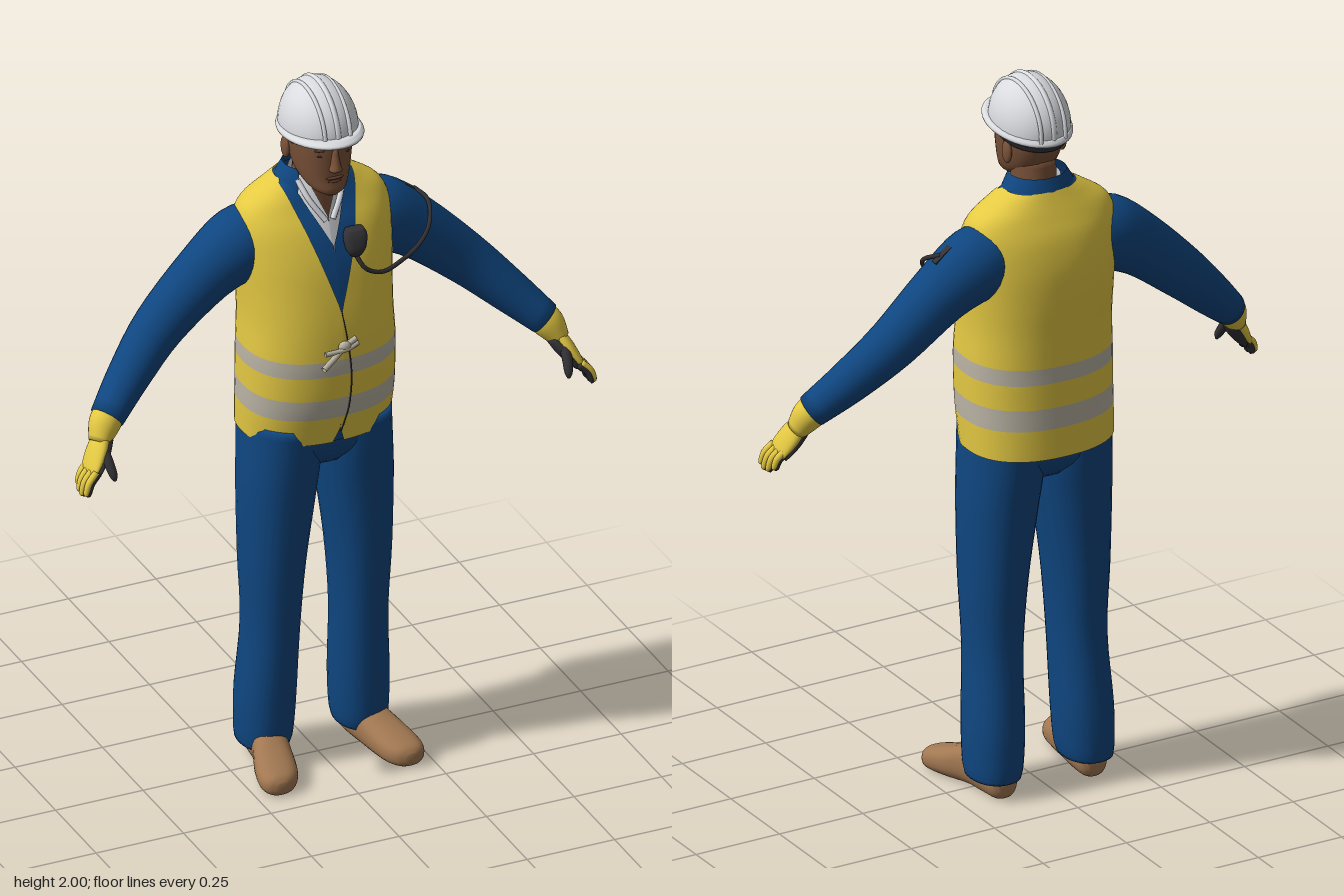
import * as THREE from 'three';

const mat = (name, color, side = THREE.FrontSide) => {
  const m = new THREE.MeshStandardMaterial({ color, side });
  m.name = name;
  return m;
};

// Skins rings along a smooth path. Each row is [x, y, z, halfWidth, halfDepth].
// axis fixes the ring direction, ref is the depth direction, gap(y) is the half width of a front opening.
function loft(rows, { seg = 28, steps = 4, p = 2, axis, ref = [0, 0, 1], gap, grow = 0, cap = true, floor } = {}) {
  const centre = new THREE.CatmullRomCurve3(rows.map(r => new THREE.Vector3(r[0], r[1], r[2])), false, 'catmullrom', 0.5);
  const radii = new THREE.CatmullRomCurve3(rows.map(r => new THREE.Vector3(r[3], r[4], 0)), false, 'catmullrom', 0.5);
  const n = (rows.length - 1) * steps, cols = gap ? seg + 1 : seg;
  const pos = [], idx = [];
  const sp = s => Math.sign(s) * Math.abs(s) ** (2 / p);
  for (let i = 0; i <= n; i++) {
    const c = centre.getPoint(i / n), r = radii.getPoint(i / n);
    const t = axis ? new THREE.Vector3(...axis) : centre.getTangent(i / n);
    const u = new THREE.Vector3().crossVectors(t, new THREE.Vector3(...ref)).normalize();
    const v = new THREE.Vector3().crossVectors(u, t).normalize();
    const rx = Math.max(r.x + grow, 0.001), rz = Math.max(r.y + grow, 0.001);
    const w = gap ? Math.min(Math.max(gap(c.y), 0) / rx, 0.98) : 0;
    const a0 = Math.asin(w ** (p / 2));
    for (let j = 0; j < cols; j++) {
      const a = a0 + (2 * Math.PI - 2 * a0) * j / seg;
      const q = c.clone().addScaledVector(u, rx * sp(Math.sin(a))).addScaledVector(v, rz * sp(Math.cos(a)));
      if (floor !== undefined) q.y = Math.max(q.y, floor);
      pos.push(q.x, q.y, q.z);
    }
  }
  const at = (i, j) => i * cols + j % cols;
  for (let i = 0; i < n; i++) for (let j = 0; j < seg; j++) {
    idx.push(at(i, j), at(i, j + 1), at(i + 1, j + 1), at(i, j), at(i + 1, j + 1), at(i + 1, j));
  }
  if (cap && !gap) for (const [i, k] of [[0, 0], [n, 1]]) {
    const c = centre.getPoint(i / n), m = pos.length / 3;
    pos.push(c.x, floor === undefined ? c.y : Math.max(c.y, floor), c.z);
    for (let j = 0; j < seg; j++) idx.push(m, at(i, j + 1 - k), at(i, j + k));
  }
  const g = new THREE.BufferGeometry();
  g.setAttribute('position', new THREE.Float32BufferAttribute(pos, 3));
  g.setIndex(idx);
  g.computeVertexNormals();
  g.userData.perRow = steps * seg * 6;
  return g;
}

export function createModel() {
  const model = new THREE.Group();
  model.name = 'worker';
  const D = THREE.DoubleSide;
  const blue = mat('blue cloth', 0x0f4680, D), yellow = mat('safety yellow', 0xe4c943, D);
  const grey = mat('reflective grey', 0xbab4a4, D), white = mat('white', 0xd9dbdf, D);
  const skin = mat('skin', 0x7a5238), lip = mat('dark skin', 0x60392a), tan = mat('tan leather', 0xa27852);
  const black = mat('black', 0x323236, D);
  const add = (name, geo, m, parent = model) => {
    const mesh = new THREE.Mesh(geo, m);
    mesh.name = name;
    parent.add(mesh);
    return mesh;
  };
  const ball = (name, m, x, y, z, sx, sy, sz, parent = model) => {
    const b = add(name, new THREE.SphereGeometry(1, 24, 16), m, parent);
    b.position.set(x, y, z);
    b.scale.set(sx, sy, sz);
    return b;
  };
  const cord = (name, pts, r, m) => add(name, new THREE.TubeGeometry(
    new THREE.CatmullRomCurve3(pts.map(q => new THREE.Vector3(...q))), 32, r, 8), m);
  const up = [0, 1, 0];

  // Vest, with a V neck and two reflective bands between rows 1-2 and 3-4
  const torso = [
    [0, 0.985, -0.036, 0.205, 0.162], [0, 1.07, -0.025, 0.208, 0.172], [0, 1.13, -0.02, 0.208, 0.176],
    [0, 1.2, -0.018, 0.208, 0.178], [0, 1.245, -0.018, 0.207, 0.178], [0, 1.33, -0.022, 0.203, 0.176],
    [0, 1.42, -0.03, 0.206, 0.17], [0, 1.51, -0.038, 0.212, 0.157], [0, 1.59, -0.045, 0.214, 0.132],
    [0, 1.645, -0.05, 0.195, 0.102], [0, 1.685, -0.05, 0.14, 0.082], [0, 1.71, -0.048, 0.1, 0.072]];
  const vest = loft(torso, { seg: 48, p: 2.3, axis: up, gap: y => y < 1.03 ? (1.03 - y) * 0.35 : (y - 1.38) * 0.32 });
  const k = vest.userData.perRow;
  [[0, 1, 0], [1, 1, 1], [2, 1, 0], [3, 1, 1], [4, 7, 0]].forEach(([s, c, m]) => vest.addGroup(s * k, c * k, m));
  add('safety vest', vest, [yellow, grey]);
  cord('vest zip', [[0, 1.38, 0.146], [0.012, 1.3, 0.156], [0.022, 1.2, 0.16], [0.018, 1.1, 0.153], [0.004, 1.02, 0.135]], 0.002, black);
  cord('vest tie', [[0.035, 1.3, 0.158], [0, 1.285, 0.165], [-0.04, 1.265, 0.182], [-0.075, 1.25, 0.198]], 0.008, grey);
  cord('vest tie tail', [[0.04, 1.285, 0.158], [0.005, 1.28, 0.17], [-0.06, 1.28, 0.175]], 0.007, grey);
  ball('vest tie knot', grey, 0, 1.285, 0.165, 0.018, 0.016, 0.012);

  // Jacket, collar and shirt
  add('jacket', loft(torso, { seg: 48, p: 2.3, axis: up, grow: -0.006, gap: y => (y - 1.55) * 0.5 }), blue);
  add('jacket collar', loft([[0, 1.66, -0.045, 0.112, 0.088], [0, 1.705, -0.044, 0.1, 0.078], [0, 1.745, -0.042, 0.078, 0.068]],
    { axis: up, gap: y => 0.07 - (y - 1.66) * 0.15 }), blue);
  add('shirt', loft([[0, 1.5, -0.04, 0.12, 0.142], [0, 1.59, -0.04, 0.11, 0.113], [0, 1.65, -0.035, 0.085, 0.088],
    [0, 1.7, -0.03, 0.07, 0.073], [0, 1.728, -0.03, 0.065, 0.069]], { axis: up, gap: y => (y - 1.62) * 0.42 }), white);
  for (const s of [1, -1]) cord('shirt collar edge',
    [[s * 0.062, 1.715, 0.005], [s * 0.045, 1.67, 0.042], [s * 0.01, 1.615, 0.07]], 0.008, white);

  // Radio microphone with its cable to the shoulder
  const mic = add('radio microphone', loft([[0.052, 1.525, 0.112, 0.015, 0.012], [0.053, 1.545, 0.11, 0.027, 0.018],
    [0.056, 1.575, 0.1, 0.032, 0.018], [0.057, 1.592, 0.092, 0.026, 0.014]], { axis: up, p: 3 }), black);
  mic.position.z = 0.008;
  cord('radio cable', [[0.05, 1.53, 0.12], [0.07, 1.49, 0.138], [0.12, 1.462, 0.13], [0.2, 1.455, 0.085], [0.265, 1.472, 0.052],
    [0.3, 1.51, 0.035], [0.322, 1.555, -0.02], [0.3, 1.575, -0.06]], 0.006, black);
  const clip = add('shoulder clip', new THREE.BoxGeometry(0.06, 0.012, 0.02), black);
  clip.position.set(0.295, 1.572, -0.06);
  clip.rotation.z = -0.65;

  // Neck and head
  add('neck', loft([[0, 1.58, -0.03, 0.065, 0.07], [0, 1.68, -0.026, 0.058, 0.064], [0, 1.79, -0.012, 0.06, 0.07]], { axis: up }), skin);
  add('head', loft([[0, 1.702, 0.068, 0.022, 0.03], [0, 1.718, 0.05, 0.048, 0.058], [0, 1.75, 0.022, 0.067, 0.083],
    [0, 1.8, 0.006, 0.078, 0.1], [0, 1.85, 0, 0.083, 0.106], [0, 1.9, 0, 0.08, 0.1], [0, 1.94, 0, 0.05, 0.07]], { axis: up, p: 2.2 }), skin);
  add('nose', loft([[0, 1.776, 0.108, 0.01, 0.005], [0, 1.784, 0.109, 0.018, 0.018], [0, 1.8, 0.106, 0.013, 0.018],
    [0, 1.84, 0.1, 0.009, 0.008]], { axis: up, seg: 16 }), skin);
  ball('upper lip', lip, 0, 1.757, 0.102, 0.025, 0.005, 0.008);
  ball('lower lip', lip, 0, 1.747, 0.1, 0.021, 0.005, 0.008);
  for (const s of [1, -1]) {
    ball('ear', skin, s * 0.082, 1.805, -0.025, 0.01, 0.032, 0.02);
    ball('eye', black, s * 0.034, 1.824, 0.094, 0.012, 0.004, 0.005);
    ball('eyebrow', lip, s * 0.035, 1.841, 0.096, 0.02, 0.004, 0.006).rotation.z = s * 0.12;
  }

  // Hard hat, tipped slightly back
  const hat = new THREE.Group();
  hat.name = 'hard hat';
  hat.position.set(0, 1.868, 0);
  hat.rotation.x = -0.09;
  model.add(hat);
  const dome = (name, sx, sy, sz) => add(name, new THREE.SphereGeometry(1, 32, 16, 0, Math.PI * 2, 0, Math.PI / 2), white, hat).scale.set(sx, sy, sz);
  dome('dome', 0.1, 0.128, 0.13);
  dome('centre ridge', 0.03, 0.132, 0.134);
  for (const s of [1, -1]) {
    const rib = add('side ridge', new THREE.TorusGeometry(0.124, 0.006, 8, 32, Math.PI), white, hat);
    rib.rotation.y = Math.PI / 2;
    rib.position.x = s * 0.036;
    rib.scale.y = 0.94;
  }
  add('brim', loft([[0, -0.012, 0.01, 0.106, 0.148], [0, -0.004, 0.01, 0.107, 0.149], [0, 0.006, 0.006, 0.1, 0.138]],
    { axis: up, seg: 40 }), white, hat);
  add('hat lining', loft([[0, -0.035, -0.012, 0.084, 0.108], [0, -0.022, -0.004, 0.092, 0.118], [0, -0.01, 0, 0.1, 0.13]],
    { axis: up }), black, hat);

  // Limbs are modelled on the left and mirrored to the right
  const hips = [[0, 0.895, -0.022, 0.1, 0.09], [0, 0.95, -0.025, 0.185, 0.132], [0, 1.05, -0.025, 0.198, 0.15]];
  add('hips', loft(hips, { axis: up, p: 2.3 }), blue);
  for (const s of [1, -1]) {
    const side = new THREE.Group();
    side.name = s > 0 ? 'left limbs' : 'right limbs';
    side.scale.x = s;
    model.add(side);

    add('trouser leg', loft([[0.138, 0.05, -0.048, 0.067, 0.085], [0.136, 0.09, -0.045, 0.073, 0.092], [0.133, 0.2, -0.04, 0.076, 0.096],
      [0.126, 0.4, -0.025, 0.072, 0.095], [0.123, 0.6, -0.022, 0.083, 0.108], [0.111, 0.8, -0.022, 0.098, 0.122],
      [0.102, 0.92, -0.024, 0.103, 0.134], [0.1, 1.03, -0.026, 0.1, 0.142]], { axis: up, p: 2.2 }), blue, side);

    add('shoe', loft([[0.135, 0.045, -0.118, 0.02, 0.03], [0.135, 0.05, -0.1, 0.04, 0.052], [0.138, 0.055, -0.05, 0.046, 0.06],
      [0.146, 0.055, 0.015, 0.049, 0.058], [0.163, 0.042, 0.08, 0.056, 0.046], [0.177, 0.032, 0.14, 0.055, 0.036],
      [0.183, 0.028, 0.172, 0.04, 0.028], [0.184, 0.026, 0.186, 0.015, 0.014]], { axis: [0, 0, 1], ref: up, p: 2.4, floor: 0 }), tan, side);

    add('sleeve', loft([[0.1, 1.565, -0.06, 0.07, 0.075], [0.19, 1.53, -0.06, 0.1, 0.092], [0.3, 1.462, -0.055, 0.084, 0.078],
      [0.435, 1.345, -0.042, 0.07, 0.066], [0.54, 1.245, 0, 0.058, 0.056], [0.625, 1.163, 0.047, 0.046, 0.046]]), blue, side);

    // Glove: yellow cuff and back, black palm, fingers and thumb
    add('glove cuff', loft([[0.612, 1.177, 0.04, 0.04, 0.042], [0.635, 1.148, 0.053, 0.042, 0.042], [0.658, 1.108, 0.07, 0.027, 0.032]]), yellow, side);
    const palm = [[0.65, 1.122, 0.066, 0.02, 0.03], [0.67, 1.09, 0.08, 0.02, 0.04], [0.692, 1.055, 0.094, 0.014, 0.04], [0.7, 1.04, 0.098, 0.008, 0.034]];
    const inward = (rows, d) => rows.map(([x, y, z, a, b]) => [x - d, y - d * 0.6, z, a, b]);
    add('glove back', loft(palm), yellow, side);
    add('glove palm', loft(inward(palm, 0.012), { grow: -0.002 }), black, side);
    for (let f = 0; f < 4; f++) {
      const z = 0.068 + f * 0.02, len = [0.8, 0.96, 1, 0.9][f];
      const finger = [[0.692, 1.055, z, 0.01, 0.01], [0.692 + 0.026 * len, 1.055 - 0.026 * len, z + 0.006, 0.01, 0.01],
        [0.692 + 0.036 * len, 1.055 - 0.055 * len, z + 0.009, 0.008, 0.008], [0.692 + 0.037 * len, 1.055 - 0.064 * len, z + 0.009, 0.003, 0.003]];
      add('finger back', loft(finger, { seg: 10 }), yellow, side);
      add('finger pad', loft(inward(finger, 0.006), { seg: 10 }), black, side);
    }
    add('thumb', loft([[0.658, 1.1, 0.095, 0.014, 0.014], [0.655, 1.075, 0.122, 0.014, 0.013], [0.65, 1.045, 0.142, 0.011, 0.011],
      [0.648, 1.03, 0.148, 0.004, 0.004]], { seg: 12 }), black, side);
  }
  return model;
}
